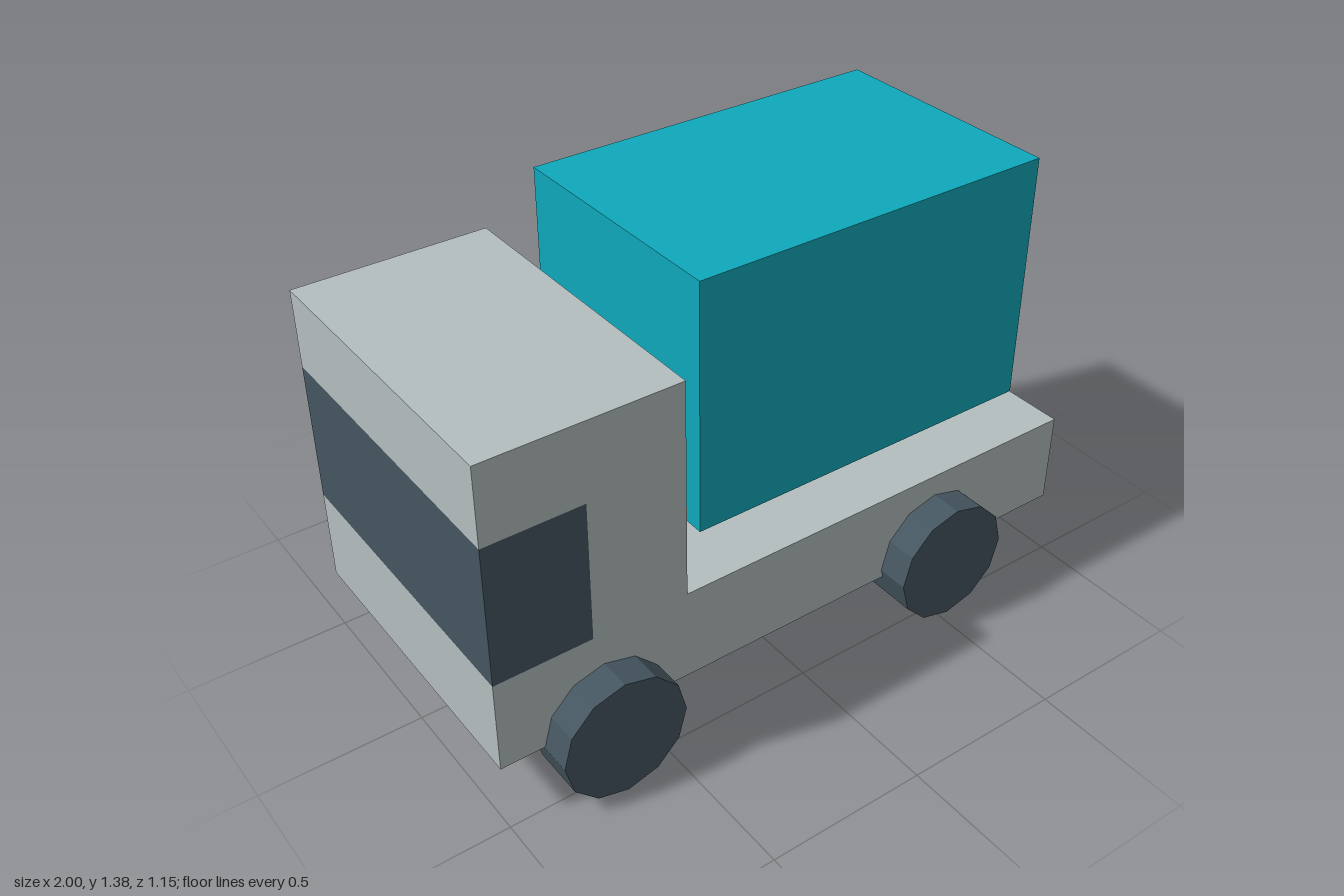
import * as THREE from 'three';

const paint = (color) => new THREE.MeshStandardMaterial({ color, flatShading: true });
const bodyPaint = paint(0xb5bebf);
const darkPaint = paint(0x455660);
const cargoPaint = paint(0x0fa9bc);
const palletPaint = paint(0xddcc3a);

// Box given by its lower and upper corners
function boxBetween(name, [x0, y0, z0], [x1, y1, z1], material) {
  const mesh = new THREE.Mesh(new THREE.BoxGeometry(x1 - x0, y1 - y0, z1 - z0), material);
  mesh.position.set((x0 + x1) / 2, (y0 + y1) / 2, (z0 + z1) / 2);
  mesh.name = name;
  return mesh;
}

export function createModel() {
  const truck = new THREE.Group();
  truck.name = 'truck';
  const back = -0.505, front = 0.476;

  // Cab and flatbed in one side profile, notched for the wraparound window
  const profile = new THREE.Shape([
    [-1, 0.2], [1, 0.2], [1, 0.495], [-0.4, 0.495], [-0.4, 1.18], [-1, 1.18],
    [-1, 0.937], [-0.7, 0.937], [-0.7, 0.495], [-1, 0.495],
  ].map(([x, y]) => new THREE.Vector2(x, y)));
  const body = new THREE.Mesh(
    new THREE.ExtrudeGeometry(profile, { depth: front - back, bevelEnabled: false }), bodyPaint);
  body.position.z = back;
  body.name = 'cabAndFlatbed';
  truck.add(body);

  // Window filling the notch flush with the cab
  truck.add(boxBetween('window', [-1, 0.495, back], [-0.7, 0.937, front], darkPaint));

  // Load on its pallet
  truck.add(boxBetween('pallet', [-0.28, 0.495, -0.21], [0.8, 0.592, 0.182], palletPaint));
  truck.add(boxBetween('cargoBox', [-0.288, 0.592, -0.406], [0.889, 1.377, 0.379], cargoPaint));

  // Twelve-sided wheels; the rear axle sits slightly higher
  const wheelGeometry = new THREE.CylinderGeometry(0.195, 0.195, 0.166, 12).rotateX(Math.PI / 2);
  for (const [axle, x, y] of [['front', -0.67, 0.197], ['rear', 0.505, 0.228]]) {
    for (const [side, z] of [['Left', 0.492], ['Right', -0.492]]) {
      const wheel = new THREE.Mesh(wheelGeometry, darkPaint);
      wheel.position.set(x, y, z);
      wheel.name = `${axle}Wheel${side}`;
      truck.add(wheel);
    }
  }
  return truck;
}
